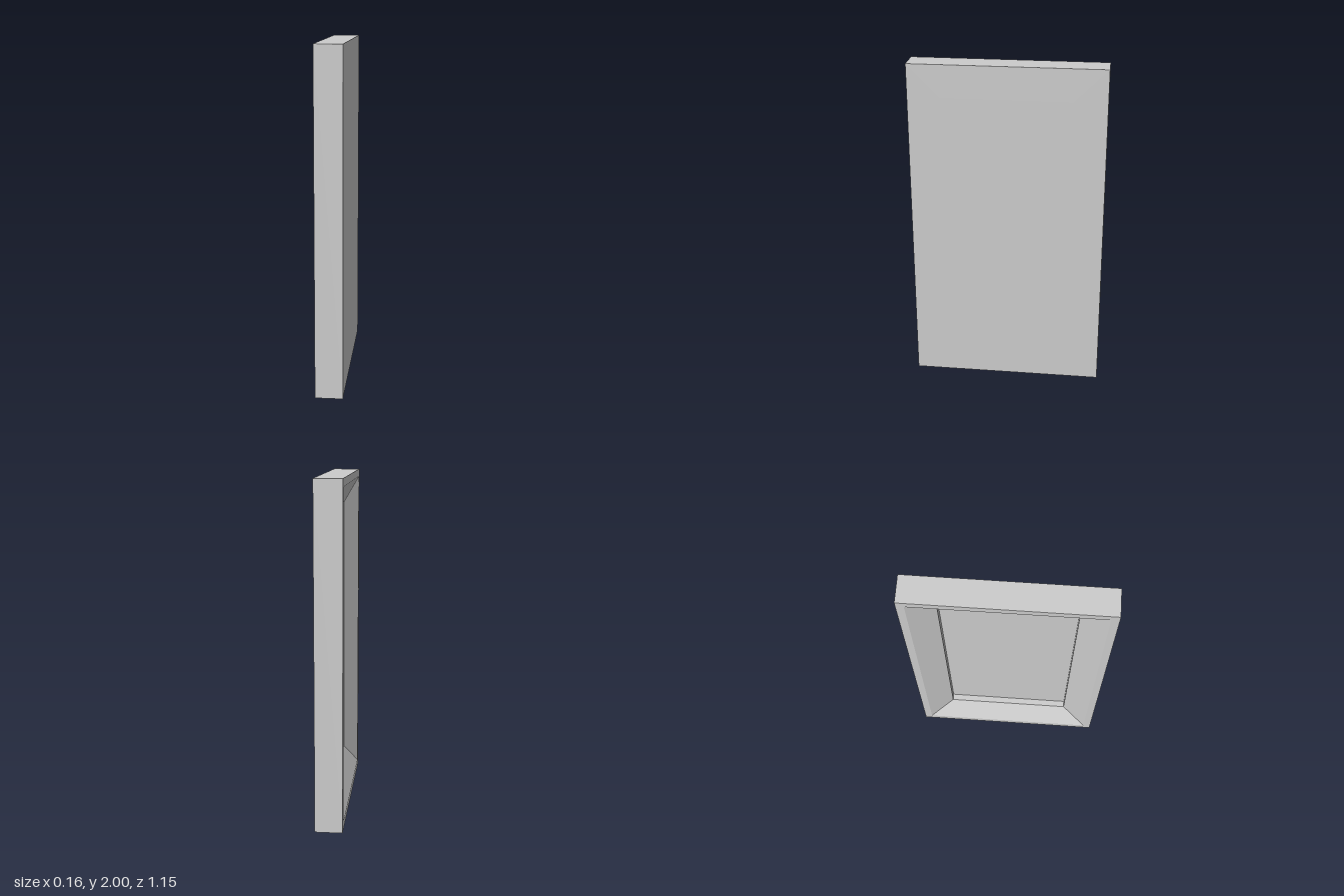
import * as THREE from 'three';

const W = 1.15, H = 2, D = 0.16; // z width, y height, x depth
const LIP = 0.045, BORDER = 0.195, PANEL_X = 0.038;

// Sweeps a closed profile of [inset, x] points round a mitred rectangle.
function mitredFrame(profile) {
  const corners = ([inset, x]) => {
    const z = W / 2 - inset, lo = inset, hi = H - inset;
    return [[x, lo, -z], [x, lo, z], [x, hi, z], [x, hi, -z]];
  };
  const positions = [];
  profile.forEach((point, i) => {
    const outer = corners(point);
    const inner = corners(profile[(i + 1) % profile.length]);
    for (let k = 0; k < 4; k++) {
      const n = (k + 1) % 4;
      positions.push(
        ...outer[k], ...outer[n], ...inner[n],
        ...outer[k], ...inner[n], ...inner[k]
      );
    }
  });
  const geometry = new THREE.BufferGeometry();
  geometry.setAttribute('position', new THREE.Float32BufferAttribute(positions, 3));
  geometry.computeVertexNormals();
  return geometry;
}

export function createModel() {
  const group = new THREE.Group();
  group.name = 'pictureFrame';
  const material = new THREE.MeshStandardMaterial({ color: 0xcccccc, flatShading: true });

  // Border: flat lip, inward slope, then a straight step down to the panel
  const frame = new THREE.Mesh(mitredFrame([
    [0, D / 2],
    [0, -D / 2],
    [LIP, -D / 2],
    [BORDER, 0],
    [BORDER, D / 2],
  ]), material);
  frame.name = 'frame';
  group.add(frame);

  // Recessed panel, flush with the flat back of the frame
  const thickness = D / 2 - PANEL_X;
  const panel = new THREE.Mesh(
    new THREE.BoxGeometry(thickness, H - 2 * BORDER, W - 2 * BORDER), material);
  panel.position.set(PANEL_X + thickness / 2, H / 2, 0);
  panel.name = 'panel';
  group.add(panel);

  return group;
}
